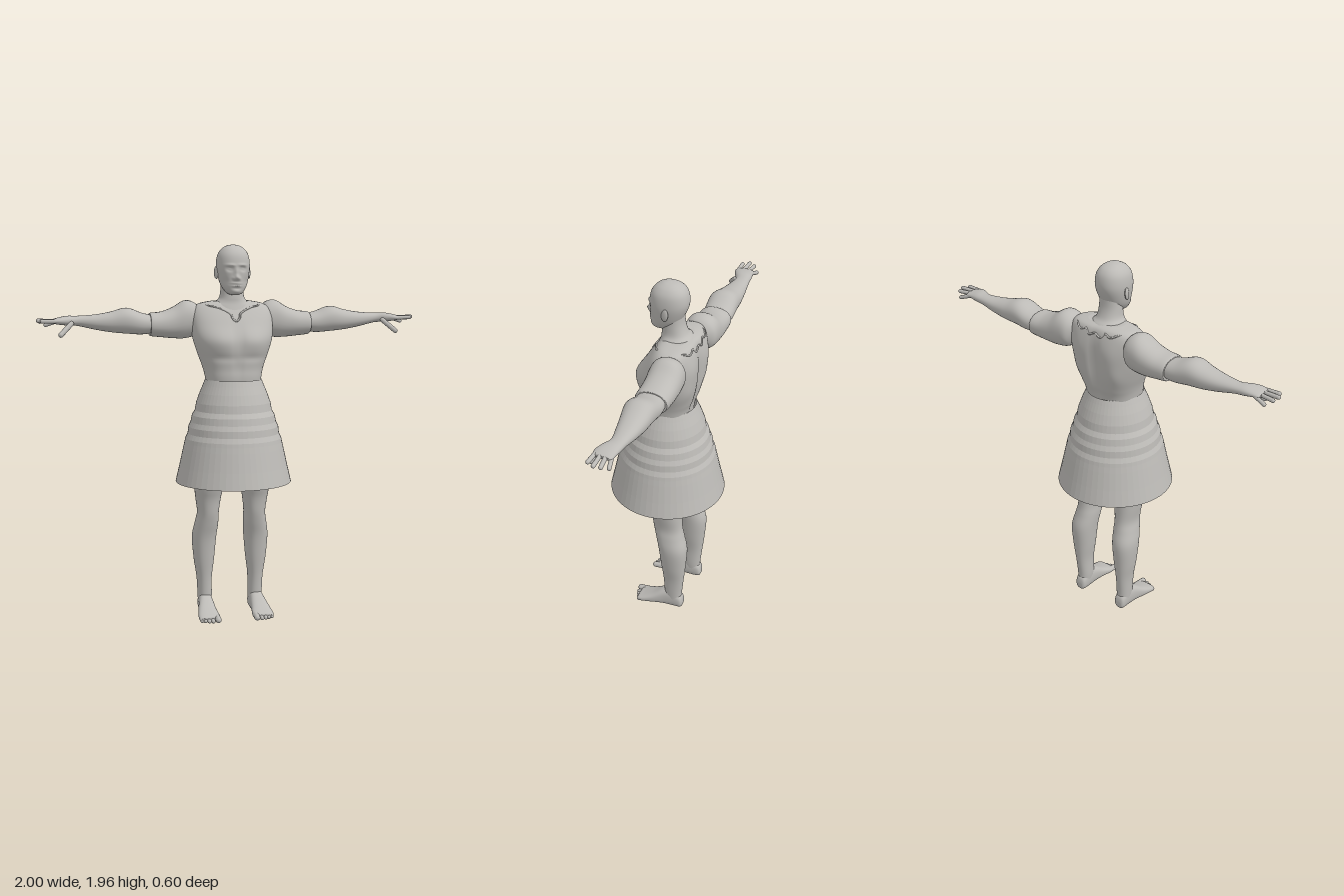
import * as THREE from 'three';

// Catmull-Rom interpolation of section rows [t, a0, a1, b0, b1]
function sampleRow(rows, u) {
  const last = rows.length - 1;
  const i = Math.min(Math.floor(u), last - 1), f = u - i;
  const p = rows[Math.max(i - 1, 0)], q = rows[i], r = rows[i + 1], s = rows[Math.min(i + 2, last)];
  return q.map((v, k) => {
    const m0 = (r[k] - p[k]) / 2, m1 = (s[k] - v) / 2, d = r[k] - v;
    return v + f * (m0 + f * (3 * d - 2 * m0 - m1 + f * (m0 + m1 - 2 * d)));
  });
}

const power = (c, n) => Math.sign(c) * Math.abs(c) ** (2 / n);

// Skin of superellipse sections along one axis, with optional sculpting and mirroring
function loft(rows, axis, { n = 2.2, sides = 32, steps = 5, sculpt = null, mirror = false } = {}) {
  const pos = [], idx = [], rings = (rows.length - 1) * steps;
  const put = (t, a, b) => {
    const v = axis === 'y' ? new THREE.Vector3(a, t, b)
      : axis === 'x' ? new THREE.Vector3(t, a, b) : new THREE.Vector3(a, b, t);
    if (sculpt) sculpt(v);
    pos.push(mirror ? -v.x : v.x, v.y, v.z);
  };
  for (let i = 0; i <= rings; i++) {
    const [t, a0, a1, b0, b1] = sampleRow(rows, i / steps);
    for (let j = 0; j < sides; j++) {
      const w = (j / sides) * Math.PI * 2;
      put(t, (a0 + a1) / 2 + (a1 - a0) / 2 * power(Math.cos(w), n),
        (b0 + b1) / 2 + (b1 - b0) / 2 * power(Math.sin(w), n));
    }
  }
  const flip = (axis === 'y') !== mirror;
  const tri = (a, b, c) => (flip ? idx.push(a, c, b) : idx.push(a, b, c));
  const end = rings * sides, c0 = end + sides, c1 = c0 + 1;
  for (const r of [rows[0], rows[rows.length - 1]]) put(r[0], (r[1] + r[2]) / 2, (r[3] + r[4]) / 2);
  for (let j = 0; j < sides; j++) {
    const k = (j + 1) % sides;
    for (let i = 0; i < rings; i++) {
      const a = i * sides + j, b = i * sides + k;
      tri(a, b, b + sides);
      tri(a, b + sides, a + sides);
    }
    tri(c0, k, j);
    tri(c1, end + j, end + k);
  }
  const g = new THREE.BufferGeometry();
  g.setAttribute('position', new THREE.Float32BufferAttribute(pos, 3));
  g.setIndex(idx);
  g.computeVertexNormals();
  return g;
}

// Soft bumps [x, y, width, height, depth] on the front (side 1) or back (side -1), mirrored in x
function sculptor(bumps, zMid, reach) {
  return (v) => {
    let dz = 0;
    for (const [side, x, y, w, h, d] of bumps) {
      const k = THREE.MathUtils.smoothstep(side * (v.z - zMid), 0, reach);
      dz += side * d * k * Math.exp(-(((Math.abs(v.x) - x) / w) ** 2) - (((v.y - y) / h) ** 2));
    }
    v.z += dz;
  };
}

// Symmetric vertical section row: height, half width, back, front
const sym = (rows) => rows.map(([y, w, z0, z1]) => [y, -w, w, z0, z1]);

export function createModel() {
  const model = new THREE.Group();
  const grey = new THREE.MeshStandardMaterial({ color: 0xbdbbb7 });
  grey.name = 'warm grey';
  const greyCloth = new THREE.MeshStandardMaterial({ color: 0xbdbbb7, flatShading: true, side: THREE.DoubleSide });
  greyCloth.name = 'warm grey cloth';
  const add = (name, geometry, material = grey) => {
    const mesh = new THREE.Mesh(geometry, material);
    mesh.name = name;
    model.add(mesh);
    return mesh;
  };

  // Head with brow, eyes, nose, lips and chin
  const face = sculptor([
    [1, 0, 1.79, 0.011, 0.014, 0.022], [1, 0, 1.815, 0.009, 0.022, 0.01],
    [1, 0.014, 1.785, 0.007, 0.008, 0.008],
    [1, 0.034, 1.834, 0.015, 0.011, -0.013], [1, 0.034, 1.833, 0.01, 0.005, 0.007],
    [1, 0.03, 1.853, 0.024, 0.006, 0.007],
    [1, 0, 1.76, 0.021, 0.005, 0.008], [1, 0, 1.748, 0.019, 0.005, 0.008],
    [1, 0, 1.754, 0.024, 0.002, -0.005], [1, 0, 1.736, 0.02, 0.006, -0.004],
    [1, 0, 1.72, 0.02, 0.01, 0.005], [1, 0.055, 1.77, 0.02, 0.02, -0.006],
  ], 0.02, 0.04);
  add('head', loft(sym([
    [1.703, 0.02, 0, 0.06], [1.713, 0.04, -0.02, 0.078], [1.75, 0.065, -0.065, 0.085],
    [1.80, 0.079, -0.093, 0.085], [1.85, 0.085, -0.108, 0.088], [1.90, 0.079, -0.103, 0.079],
    [1.932, 0.06, -0.083, 0.056], [1.95, 0.033, -0.05, 0.025], [1.956, 0.005, -0.015, 0],
  ]), 'y', { sides: 80, steps: 10, sculpt: face }));

  // Neck spreading into the shoulders
  add('neck', loft(sym([
    [1.58, 0.13, -0.14, 0.06], [1.64, 0.115, -0.145, 0.035], [1.665, 0.085, -0.13, 0.027],
    [1.69, 0.064, -0.105, 0.025], [1.74, 0.058, -0.088, 0.018], [1.8, 0.055, -0.084, 0],
  ]), 'y'));

  // Torso with chest, shoulder blades and spine
  const torsoRows = sym([
    [1.15, 0.125, -0.115, 0.105], [1.27, 0.142, -0.133, 0.122], [1.33, 0.155, -0.152, 0.122],
    [1.40, 0.18, -0.168, 0.128], [1.48, 0.205, -0.175, 0.125], [1.56, 0.213, -0.175, 0.085],
    [1.62, 0.205, -0.165, 0.045], [1.655, 0.17, -0.15, 0.015], [1.67, 0.1, -0.12, -0.01],
  ]);
  const body = sculptor([
    [1, 0.085, 1.47, 0.07, 0.06, 0.014], [1, 0, 1.49, 0.018, 0.08, -0.008],
    [1, 0.08, 1.385, 0.09, 0.018, -0.006], [1, 0, 1.34, 0.012, 0.06, -0.005],
    [-1, 0, 1.43, 0.022, 0.17, -0.022], [-1, 0.1, 1.53, 0.05, 0.07, 0.008],
    [-1, 0.12, 1.42, 0.04, 0.06, 0.008],
  ], -0.02, 0.08);
  add('torso', loft(torsoRows, 'y', { n: 2.5, sides: 64, steps: 7, sculpt: body }));

  // Ragged neckline edge laid over the torso
  const half = [[0, 1.57, 1], [0.018, 1.585, 1], [0.024, 1.605, 1], [0.045, 1.62, 1], [0.085, 1.638, 1],
    [0.13, 1.648, 1], [0.155, 1.655, 0], [0.125, 1.648, -1], [0.09, 1.633, -1], [0.06, 1.645, -1],
    [0.035, 1.622, -1], [0, 1.635, -1]];
  const onTorso = ([x, y, side]) => {
    let u = 0;
    while (sampleRow(torsoRows, u)[0] < y) u += 0.01;
    const [, , w, z0, z1] = sampleRow(torsoRows, u);
    const z = (z0 + z1) / 2 + side * (z1 - z0) / 2 * Math.max(0, 1 - (Math.abs(x) / w) ** 2.5) ** 0.4;
    return new THREE.Vector3(x, y, z);
  };
  const loop = [...half, ...half.slice(1, -1).reverse().map(([x, y, s]) => [-x, y, s])].map(onTorso);
  const neckline = new THREE.CatmullRomCurve3(loop, true, 'centripetal');
  add('neckline', new THREE.TubeGeometry(neckline, 160, 0.005, 6, true));

  // Stepped skirt, open below
  const skirt = [[0.302, 0.735], [0.282, 0.82], [0.261, 0.915], [0.254, 0.945], [0.25, 0.965], [0.238, 0.99],
    [0.234, 1.025], [0.222, 1.05], [0.215, 1.085], [0.2, 1.11], [0.193, 1.15], [0.175, 1.2], [0.158, 1.24],
    [0.146, 1.27]].map(([r, y]) => new THREE.Vector2(r, y));
  add('skirt', new THREE.LatheGeometry(skirt, 56), greyCloth);

  // Rounded digit between two points
  const digit = (name, from, to, r, sx) => {
    const a = new THREE.Vector3(...from), b = new THREE.Vector3(...to);
    a.x *= sx;
    b.x *= sx;
    const d = b.clone().sub(a);
    const m = add(name, new THREE.CapsuleGeometry(r, d.length() - r, 5, 10));
    m.position.copy(a).add(b).multiplyScalar(0.5);
    m.quaternion.setFromUnitVectors(new THREE.Vector3(0, 1, 0), d.normalize());
  };

  for (const [side, sx] of [['left', 1], ['right', -1]]) {
    const mirror = sx < 0;
    const ear = add(side + 'Ear', new THREE.SphereGeometry(1, 16, 12));
    ear.scale.set(0.009, 0.033, 0.02);
    ear.position.set(sx * 0.085, 1.815, -0.018);
    ear.rotation.set(-0.15, sx * -0.3, 0);

    // Upper arm ending in a hem at the elbow
    add(side + 'UpperArm', loft([
      [0.16, 1.54, 1.63, -0.14, -0.04], [0.19, 1.493, 1.662, -0.172, -0.01], [0.24, 1.477, 1.672, -0.18, -0.004],
      [0.3, 1.478, 1.638, -0.18, -0.006], [0.36, 1.484, 1.616, -0.178, -0.006],
      [0.415, 1.49, 1.61, -0.176, -0.008], [0.422, 1.497, 1.603, -0.17, -0.015],
    ], 'x', { mirror }));

    // Forearm and palm
    add(side + 'Forearm', loft([
      [0.39, 1.51, 1.595, -0.16, -0.025], [0.46, 1.5, 1.61, -0.169, -0.014], [0.54, 1.505, 1.637, -0.166, -0.01],
      [0.62, 1.513, 1.618, -0.16, -0.025], [0.7, 1.527, 1.604, -0.15, -0.042], [0.79, 1.547, 1.598, -0.138, -0.06],
      [0.84, 1.55, 1.599, -0.134, -0.04], [0.88, 1.555, 1.593, -0.128, -0.025], [0.91, 1.56, 1.585, -0.124, -0.028],
      [0.918, 1.566, 1.58, -0.115, -0.035],
    ], 'x', { mirror }));

    // Fingers and thumb
    [[0.958, 1.55, -0.128], [0.988, 1.57, -0.102], [0.998, 1.577, -0.071], [0.98, 1.575, -0.036]].forEach(([x, y, z], i) =>
      digit(side + 'Finger' + (i + 1), [0.885, 1.573, -0.113 + i * 0.025], [x - 0.004, y, z], 0.0105, sx));
    digit(side + 'Thumb', [0.82, 1.565, -0.05], [0.885, 1.503, -0.002], 0.013, sx);

    // Leg from ankle to hip
    add(side + 'Leg', loft([
      [0.04, 0.105, 0.172, -0.138, -0.045], [0.1, 0.1, 0.175, -0.14, -0.043], [0.2, 0.1, 0.18, -0.15, -0.037],
      [0.3, 0.088, 0.195, -0.16, -0.025], [0.42, 0.077, 0.204, -0.167, -0.01], [0.5, 0.07, 0.192, -0.147, 0.01],
      [0.56, 0.07, 0.182, -0.134, 0.024], [0.64, 0.06, 0.192, -0.13, 0.036], [0.72, 0.045, 0.2, -0.13, 0.06],
      [0.9, 0.012, 0.2, -0.14, 0.095], [1.1, 0, 0.165, -0.14, 0.11], [1.2, 0, 0.135, -0.11, 0.095],
    ], 'y', { mirror }));

    // Foot with five toes
    add(side + 'Foot', loft([
      [-0.148, 0.122, 0.155, 0.02, 0.05], [-0.137, 0.108, 0.168, 0.004, 0.085], [-0.09, 0.102, 0.174, 0, 0.12],
      [-0.04, 0.1, 0.18, 0.002, 0.107], [0.02, 0.095, 0.193, 0.003, 0.07], [0.07, 0.088, 0.2, 0.002, 0.046],
      [0.098, 0.09, 0.198, 0.004, 0.035], [0.106, 0.098, 0.19, 0.01, 0.028],
    ], 'z', { n: 2.5, mirror }));
    [[0.104, 0.128, 0.016], [0.131, 0.126, 0.011], [0.151, 0.12, 0.0105], [0.17, 0.112, 0.01], [0.187, 0.104, 0.01]]
      .forEach(([x, z, r], i) => digit(side + 'Toe' + (i + 1), [x, r + 0.008, 0.07], [x, r + 0.001, z], r, sx));
  }
  return model;
}
